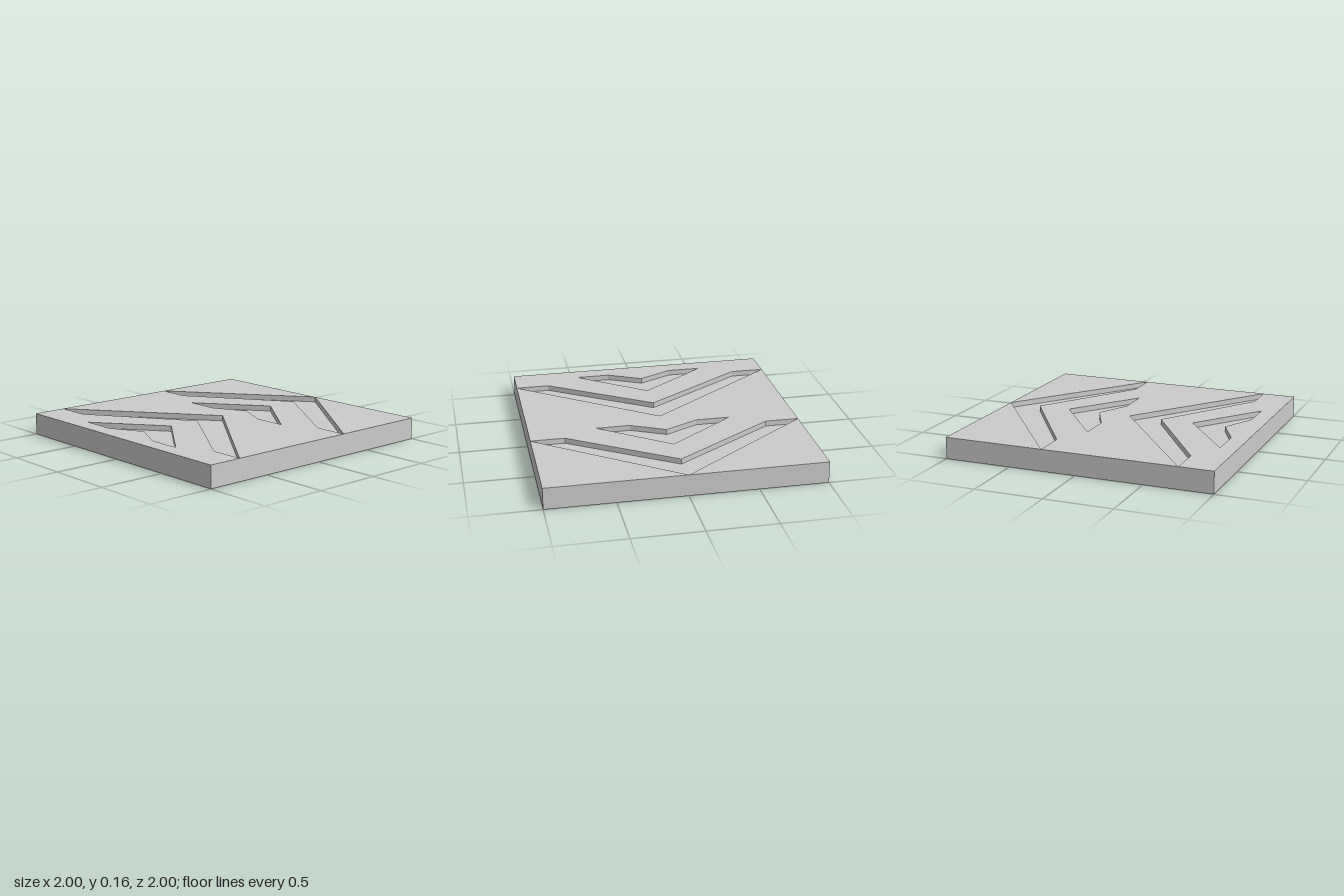
import * as THREE from 'three';

const HEIGHT = 0.16, DEPTH = 0.04, FLOOR = HEIGHT - DEPTH;
const material = new THREE.MeshStandardMaterial({ color: 0xcccccc, flatShading: true });

// Arrow outline as [x, z], counter-clockwise from above, starting at the tip
const chevron = (tip, half, tail, innerHalf, notch) => [
  [0, tip], [-half, tail], [-innerHalf, tail], [0, notch], [innerHalf, tail], [half, tail],
];
const largeChevron = (z) => chevron(z, 1, z + 0.75, 0.75, z + 0.25);
const smallChevron = (z) => chevron(z + 0.5, 0.5, z + 0.875, 0.25, z + 0.75);

const toPoints = (outline) => outline.map(([x, z]) => new THREE.Vector2(x, -z));

function addMesh(group, geometry, name) {
  const mesh = new THREE.Mesh(geometry, material);
  mesh.name = name;
  group.add(mesh);
}

// Horizontal, upward-facing polygon with an optional hole
function flatFace(outline, y, hole) {
  const shape = new THREE.Shape(toPoints(outline));
  if (hole) shape.holes.push(new THREE.Path(toPoints(hole)));
  return new THREE.ShapeGeometry(shape).rotateX(-Math.PI / 2).translate(0, y, 0);
}

// Vertical walls facing the inside of a recess
function recessWalls(outline) {
  const positions = [];
  outline.forEach(([px, pz], i) => {
    const [qx, qz] = outline[(i + 1) % outline.length];
    positions.push(
      qx, FLOOR, qz, px, FLOOR, pz, px, HEIGHT, pz,
      qx, FLOOR, qz, px, HEIGHT, pz, qx, HEIGHT, qz,
    );
  });
  const geometry = new THREE.BufferGeometry();
  geometry.setAttribute('position', new THREE.Float32BufferAttribute(positions, 3));
  geometry.computeVertexNormals();
  return geometry;
}

export function createModel() {
  const model = new THREE.Group();
  model.name = 'chevronPanel';

  // Slab sides and underside: a box without its top face
  const body = new THREE.BoxGeometry(2, HEIGHT, 2).translate(0, HEIGHT / 2, 0);
  body.setIndex([...body.index.array].filter((_, i) => i < 12 || i >= 18));
  body.clearGroups();
  addMesh(model, body, 'slabBody');

  // Top surface: back corners, then the areas in front of each large chevron
  for (const side of [-1, 1]) {
    addMesh(model, flatFace([[side, -1], [0, -1], [side, -0.25]], HEIGHT), 'topBackCorner');
  }
  const frontEdge = (z) => largeChevron(z).slice(1);
  addMesh(model, flatFace([...frontEdge(-1), [0, 0], [-1, 0.75]].filter(([x, z]) => x !== -1 || z < 0)
    .concat([[-1, 0.75]]).reduce((ring, p) => {
      // Include the right-hand side edge before reaching the next chevron's tip
      if (p[0] === 0 && p[1] === 0) ring.push([1, 0.75]);
      ring.push(p);
      return ring;
    }, []), HEIGHT, smallChevron(-1)), 'topMiddle');
  addMesh(model, flatFace([...frontEdge(0), [1, 1], [-1, 1]], HEIGHT, smallChevron(0)), 'topFront');

  // Sunken chevrons
  for (const z of [-1, 0]) {
    for (const outline of [largeChevron(z), smallChevron(z)]) {
      const recess = new THREE.Group();
      recess.name = 'chevronRecess';
      addMesh(recess, flatFace(outline, FLOOR), 'recessFloor');
      addMesh(recess, recessWalls(outline), 'recessWalls');
      model.add(recess);
    }
  }
  return model;
}
